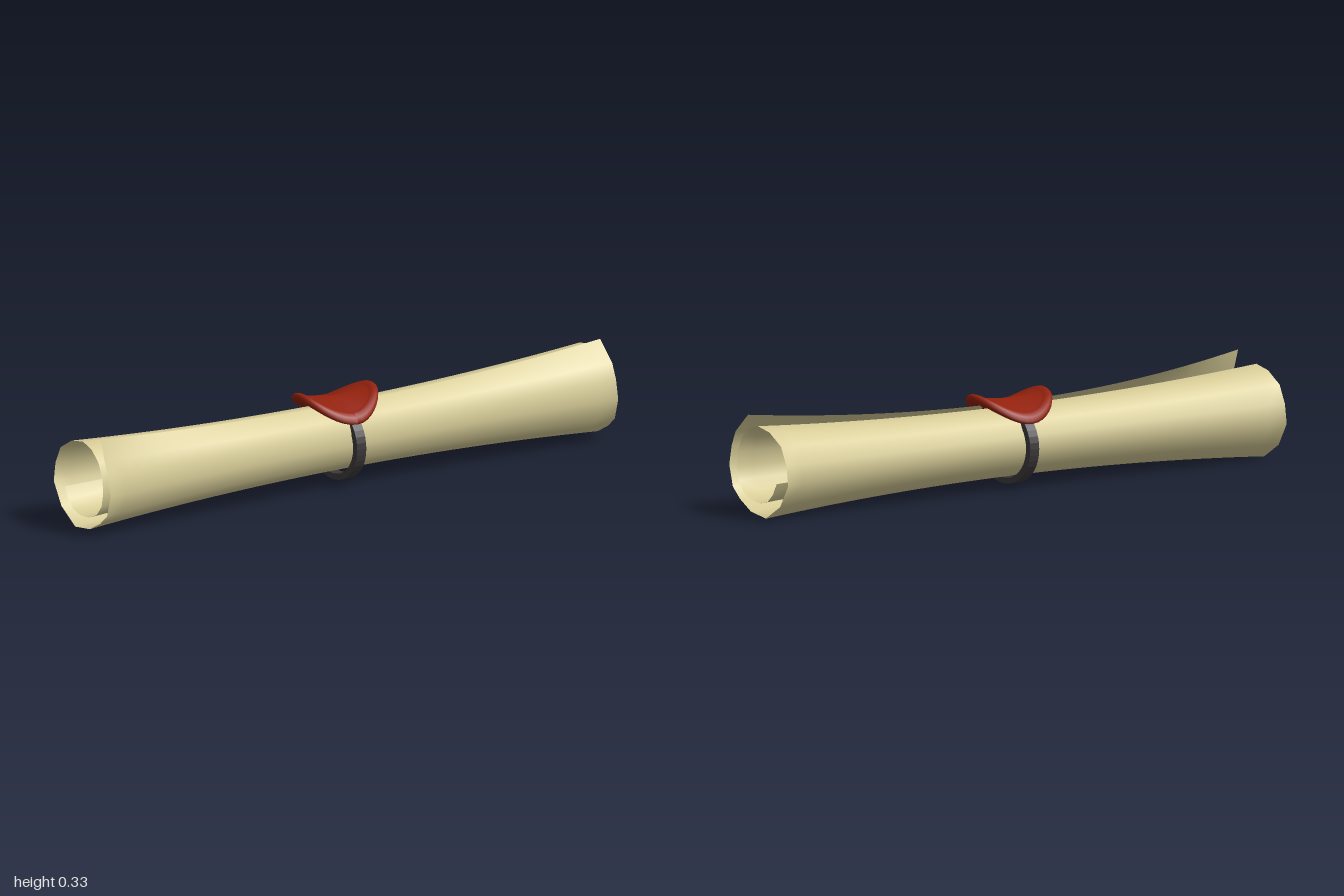
import * as THREE from 'three';

const paper = new THREE.MeshStandardMaterial({ color: 0xd8cd98, side: THREE.DoubleSide });
paper.name = 'parchment';
const wax = new THREE.MeshStandardMaterial({ color: 0x92210d });
wax.name = 'red wax';
const band = new THREE.MeshStandardMaterial({ color: 0x3d383a });
band.name = 'dark ribbon';

const CY = 0.155; // height of the roll's axis

// Spiral of the flared end as [z, y], from the loose outer edge inwards
const spiral = [
  [0.06, 0.33], [0.13, 0.265], [0.152, 0.215], [0.165, 0.15], [0.145, 0.08], [0.105, 0.045], [0.045, 0.012],
  [-0.04, 0], [-0.12, 0.05], [-0.165, 0.125], [-0.155, 0.19], [-0.125, 0.25], [-0.06, 0.288],
  [0.005, 0.3], [0.055, 0.285], [0.095, 0.25], [0.118, 0.2], [0.122, 0.15], [0.113, 0.105],
  [0.085, 0.07], [0.04, 0.05], [-0.01, 0.046], [-0.05, 0.057], [-0.08, 0.085], [-0.1, 0.123],
];

// Sheet: the spiral swept along x, narrowing to a waist in the middle
function sheetGeometry() {
  const cols = 32, n = spiral.length, pos = [], index = [];
  for (let i = 0; i <= cols; i++) {
    const x = -1 + (2 * i) / cols, f = x * x, s = 0.75 + 0.25 * f;
    spiral.forEach(([z, y], j) => {
      if (j === 0) {
        // the loose edge lifts further away at the -x end
        const tip = x < 0 ? [0.107, 0.333] : [z, y];
        pos.push(x, 0.27 + (tip[1] - 0.27) * f, 0.03 + (tip[0] - 0.03) * f);
      } else pos.push(x, CY + (y - CY) * s, z * s);
      if (i < cols && j < n - 1) {
        const a = i * n + j, b = a + n;
        index.push(a, a + 1, b, b, a + 1, b + 1);
      }
    });
  }
  const g = new THREE.BufferGeometry();
  g.setAttribute('position', new THREE.Float32BufferAttribute(pos, 3));
  g.setIndex(index);
  g.computeVertexNormals();
  return g;
}

// Seal: thick-rimmed disc bent into a saddle over the roll
function sealGeometry() {
  const profile = [
    [0, -0.024], [0.06, -0.024], [0.11, -0.023], [0.127, -0.019], [0.138, -0.008], [0.139, 0.002],
    [0.132, 0.009], [0.122, 0.011], [0.112, 0.008], [0.104, 0.003], [0.06, 0.003], [0, 0.003],
  ].map(([r, y]) => new THREE.Vector2(r, y));
  const g = new THREE.LatheGeometry(profile, 40);
  const p = g.attributes.position;
  for (let i = 0; i < p.count; i++) {
    const a = Math.atan2(p.getZ(i), p.getX(i));
    const x = p.getX(i) * (1.05 + 0.02 * Math.cos(3 * a)) - 0.004;
    const z = p.getZ(i) * (0.95 + 0.012 * Math.cos(4 * a));
    p.setXYZ(i, x, 0.288 + p.getY(i) + 1.0 * x * x - 3.2 * z * z, z);
  }
  g.computeVertexNormals();
  return g;
}

// Ribbon: flat hoop around the waist
function ribbonGeometry() {
  const outer = new THREE.Shape().absellipse(0, 0, 0.15, 0.132, 0, Math.PI * 2);
  outer.holes.push(new THREE.Path().absellipse(0, 0, 0.126, 0.112, 0, Math.PI * 2, true));
  const g = new THREE.ExtrudeGeometry(outer, { depth: 0.036, bevelEnabled: false, curveSegments: 20 });
  return g.translate(0, 0, -0.018).rotateY(Math.PI / 2).translate(0, 0.142, 0);
}

export function createModel() {
  const group = new THREE.Group();
  group.name = 'sealedScroll';
  const add = (name, geometry, material) => {
    const mesh = new THREE.Mesh(geometry, material);
    mesh.name = name;
    group.add(mesh);
  };
  add('rolledSheet', sheetGeometry(), paper);
  add('ribbon', ribbonGeometry(), band);
  add('waxSeal', sealGeometry(), wax);
  return group;
}
